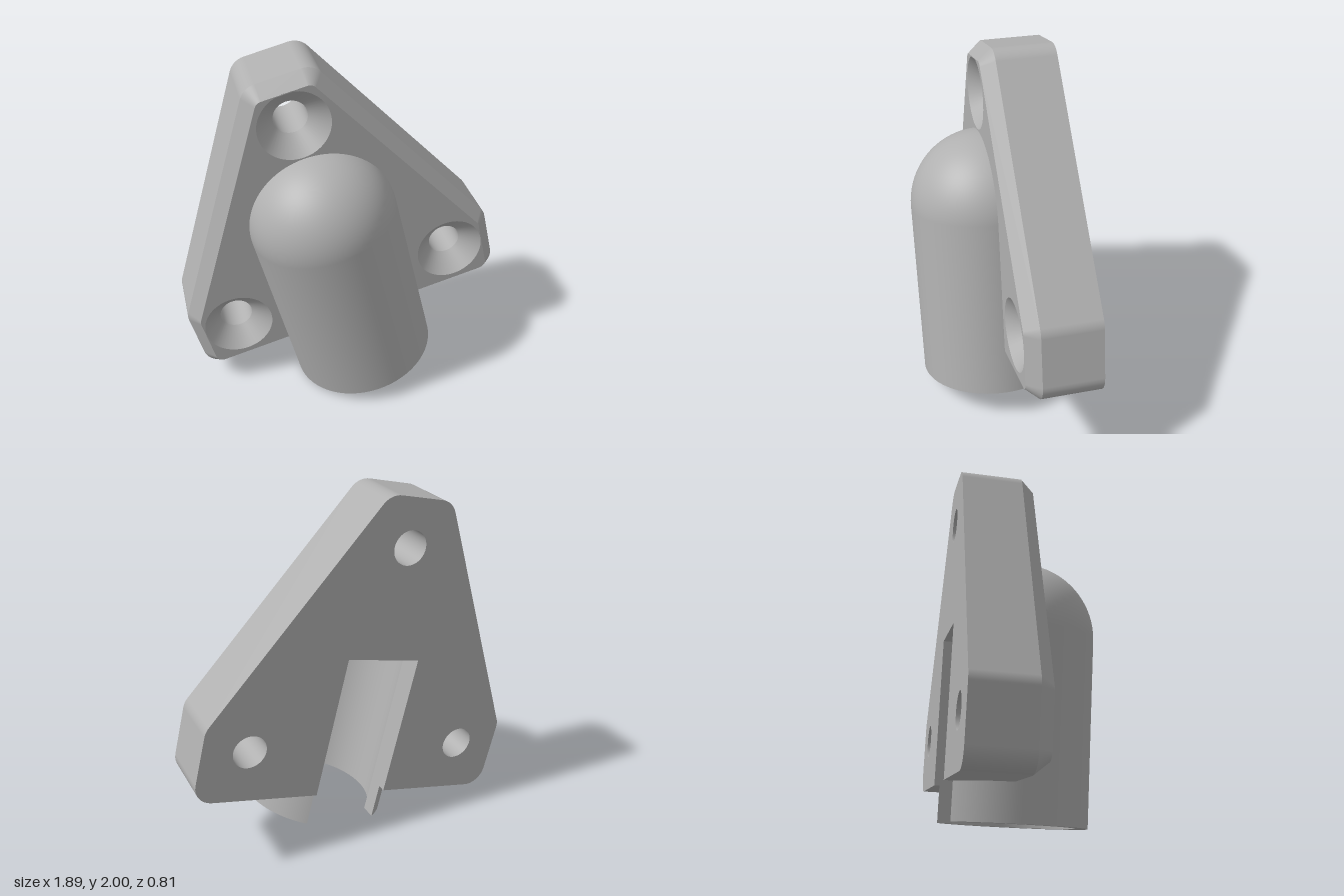
import * as THREE from 'three';

const R = 0.42, RI = 0.35, CZ = -0.015, LEN = 1.03;      // hood: outer, inner radius, axis z, straight length
const BACK = -0.41, BEVEL = 0.075, INSET = 0.065;         // plate depth and front bevel
const BOTTOM = 0.205, GAP = 0.385;                        // plate lower edge, half width hidden in hood wall
const SLOT = [-0.235, 0.205];                             // slot sides
const HOLES = [[-0.667, 0.5], [0.667, 0.5], [0, 1.657]];
const HOLE_R = 0.095, SINK_R = 0.2;

// Plate edges as [normal angle in degrees, distance from the plate centre (0, 0.885)]
const CENTRE = 0.885, FILLET = 0.11;
const EDGES = [[-90, 0.68], [0, 0.935], [30, 0.68], [90, 1.035], [150, 0.68], [180, 0.935], [270, 0.68]];
const rad = THREE.MathUtils.degToRad;

// Rounded outline, open at the bottom; each point is [x, y, normal angle]
function outline(inset) {
  const y0 = BOTTOM + inset;
  const pts = [[GAP, y0, rad(-90)]];
  for (let i = 0; i < EDGES.length - 1; i++) {
    const a = rad(EDGES[i][0]), b = rad(EDGES[i + 1][0]);
    const da = EDGES[i][1] - FILLET, db = EDGES[i + 1][1] - FILLET;
    const det = Math.sin(b - a);
    const cx = (da * Math.sin(b) - db * Math.sin(a)) / det;
    const cy = (db * Math.cos(a) - da * Math.cos(b)) / det + CENTRE;
    for (let k = 0; k <= 8; k++) {
      const t = a + (b - a) * k / 8, r = FILLET - inset;
      pts.push([cx + r * Math.cos(t), cy + r * Math.sin(t), t]);
    }
  }
  pts.push([-GAP, y0, rad(270)]);
  return pts;
}

// Smooth strip between two outlines at different depths
function strip(front, zf, back, zb, nz) {
  const pos = [], nor = [], idx = [];
  front.forEach((p, i) => {
    const q = back[i], n = new THREE.Vector3(Math.cos(p[2]), Math.sin(p[2]), nz).normalize();
    pos.push(p[0], p[1], zf, q[0], q[1], zb);
    nor.push(n.x, n.y, n.z, n.x, n.y, n.z);
    if (i) { const k = 2 * i; idx.push(k - 2, k - 1, k, k, k - 1, k + 1); }
  });
  const g = new THREE.BufferGeometry();
  g.setAttribute('position', new THREE.Float32BufferAttribute(pos, 3));
  g.setAttribute('normal', new THREE.Float32BufferAttribute(nor, 3));
  g.setIndex(idx);
  return g;
}

// Turn a surface inside out
function flip(g) {
  const ix = g.index.array, n = g.attributes.normal;
  for (let i = 0; i < ix.length; i += 3) [ix[i], ix[i + 1]] = [ix[i + 1], ix[i]];
  for (let i = 0; i < n.count; i++) n.setXYZ(i, -n.getX(i), -n.getY(i), -n.getZ(i));
  return g;
}

// Planar face: 2D shape placed by a mapping and facing a given normal
function face(points, place, normal, holes = []) {
  const shape = new THREE.Shape(points.map(p => new THREE.Vector2(p[0], p[1])));
  for (const [x, y, r] of holes) shape.holes.push(new THREE.Path().absarc(x, y, r, 0, Math.PI * 2, true));
  const g = new THREE.ShapeGeometry(shape, 24);
  const p = g.attributes.position;
  for (let i = 0; i < p.count; i++) p.setXYZ(i, ...place(p.getX(i), p.getY(i)));
  g.computeVertexNormals();
  const n = new THREE.Vector3().fromBufferAttribute(g.attributes.normal, 0);
  return n.dot(new THREE.Vector3(...normal)) < 0 ? flip(g) : g;
}

// Arc in plan, angle 0 towards the front
function arc(r, a, b, n, z = CZ) {
  return Array.from({ length: n + 1 }, (_, i) => {
    const t = a + (b - a) * i / n;
    return [r * Math.sin(t), z + r * Math.cos(t)];
  });
}

export function createModel() {
  const grey = new THREE.MeshStandardMaterial({ color: 0xb0b0b0, side: THREE.DoubleSide });
  grey.name = 'grey';
  const model = new THREE.Group();
  const tilted = new THREE.Group();
  tilted.name = 'tiltedBracket';
  tilted.position.set(0.0975, 0.1, 0);
  tilted.rotation.z = rad(13.45);
  model.add(tilted);
  const add = (name, geo, x = 0, y = 0, z = 0) => {
    const m = new THREE.Mesh(geo, grey);
    m.name = name;
    m.position.set(x, y, z);
    tilted.add(m);
  };
  const plan = y => (x, z) => [x, y, z];

  // Plate: bevel, side wall, front and back faces
  const inner = outline(INSET), outer = outline(0);
  add('plateBevel', strip(inner, 0, outer, -BEVEL, INSET / BEVEL));
  add('plateSide', strip(outer, -BEVEL, outer, BACK, 0));
  const arch = arc(GAP, -Math.PI / 2, Math.PI / 2, 24, LEN);
  add('plateFront', face([...inner, ...arch], (x, y) => [x, y, 0], [0, 0, 1],
    HOLES.map(h => [...h, SINK_R])));
  const [s0, s1] = SLOT;
  add('plateBack', face([...outer, [s0, BOTTOM], [s0, LEN], [s1, LEN], [s1, BOTTOM]],
    (x, y) => [x, y, BACK], [0, 0, -1], HOLES.map(h => [...h, HOLE_R])));

  // Countersunk screw holes
  const sink = SINK_R - HOLE_R;
  for (const [x, y] of HOLES) {
    add('countersink', flip(new THREE.CylinderGeometry(SINK_R, HOLE_R, sink, 48, 1, true)
      .rotateX(Math.PI / 2)), x, y, -sink / 2);
    add('screwHole', flip(new THREE.CylinderGeometry(HOLE_R, HOLE_R, -BACK - sink, 48, 1, true)
      .rotateX(Math.PI / 2)), x, y, (BACK - sink) / 2);
  }

  // Hood: slotted tube wall and domed end
  const start = r => Math.asin(s0 / r) * -1 - Math.PI;     // first slot edge, going round the front
  const end = r => Math.PI - Math.asin(s1 / r);
  const tube = r => new THREE.CylinderGeometry(r, r, LEN, 72, 1, true, start(r), end(r) - start(r));
  add('hoodOuter', tube(R), 0, LEN / 2, CZ);
  add('hoodInner', flip(tube(RI)), 0, LEN / 2, CZ);
  add('domeOuter', new THREE.SphereGeometry(R, 48, 20, 0, Math.PI, 0, Math.PI / 2), 0, LEN, CZ);
  add('domeInner', flip(new THREE.SphereGeometry(RI, 64, 20, 0, Math.PI * 2, 0, Math.PI / 2)), 0, LEN, CZ);
  add('hoodRim', face([...arc(R, start(R), end(R), 72), ...arc(RI, end(RI), start(RI), 72)],
    plan(0), [0, -1, 0]));

  // Slot: side walls, ceiling, and the plate underside beside it
  for (const [s, dir] of [[s0, 1], [s1, -1]]) {
    const zAt = r => CZ - Math.sqrt(r * r - s * s);
    add('slotWall', face([[zAt(RI), 0], [zAt(RI), LEN], [BACK, LEN], [BACK, BOTTOM], [zAt(R), BOTTOM], [zAt(R), 0]],
      (z, y) => [s, y, z], [dir, 0, 0]));
    const from = Math.PI - Math.asin(Math.abs(s) / RI), to = Math.acos((-BEVEL - CZ) / RI);
    const side = arc(RI, from, to, 12).map(([x, z]) => [-dir * x, z]);
    add('plateUnderside', face([...side, [-dir * GAP, -BEVEL], [-dir * GAP, BACK], [s, BACK]],
      plan(BOTTOM), [0, -1, 0]));
  }
  add('slotCeiling', face([[s0, BACK], [s1, BACK],
    ...arc(RI, end(RI), start(RI) + Math.PI * 2, 16)], plan(LEN), [0, -1, 0]));

  return model;
}
